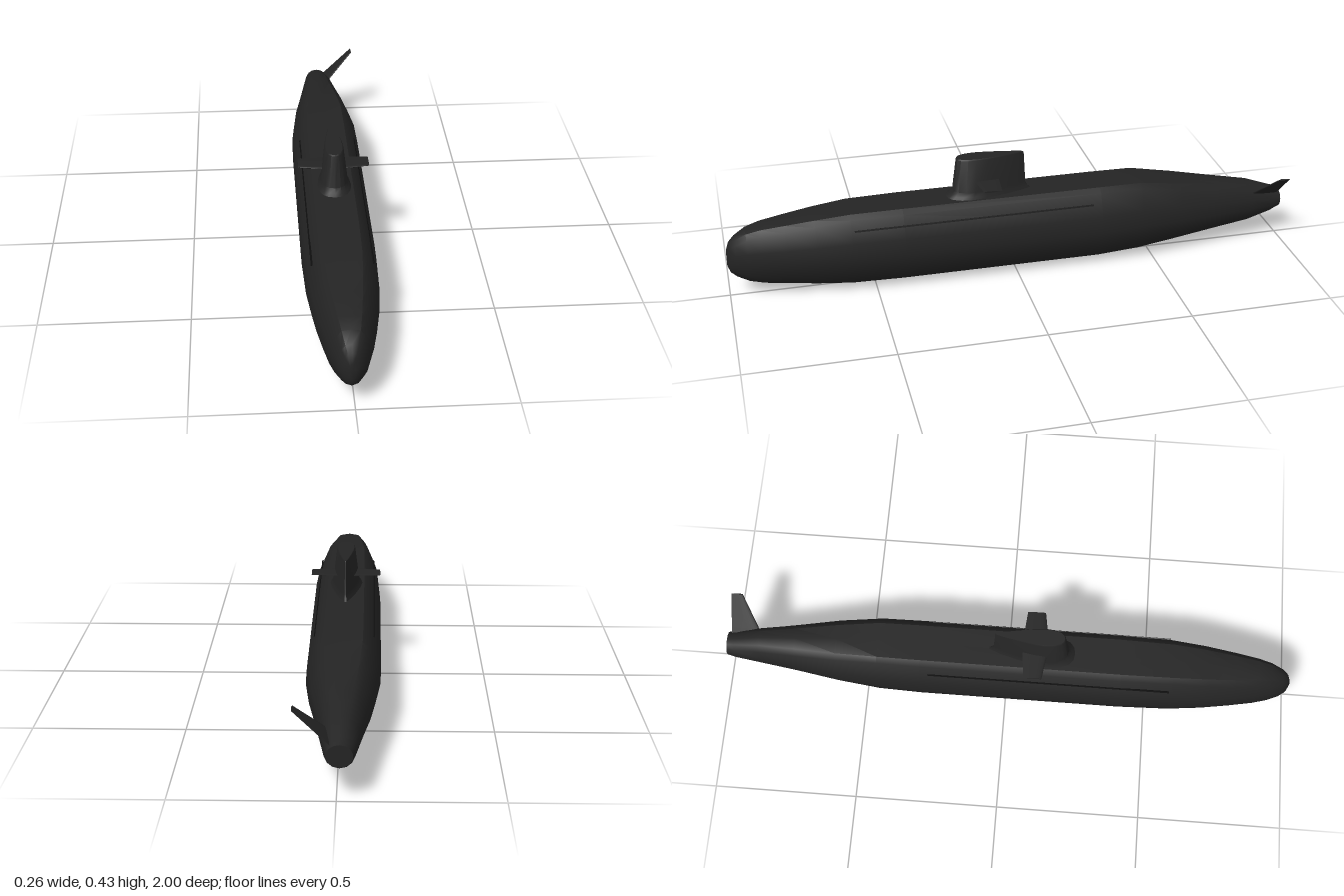
import * as THREE from 'three';
import { toCreasedNormals } from 'three/addons/utils/BufferGeometryUtils.js';

const CX = -0.009; // centre line of the hull

// Skin through closed rings; the first ring runs counter-clockwise seen from outside its end.
function loft(rings, crease) {
  const n = rings[0].length, pos = [], idx = [];
  rings.forEach(r => r.forEach(p => pos.push(p.x, p.y, p.z)));
  for (let i = 0; i < rings.length - 1; i++) {
    for (let j = 0; j < n; j++) {
      const a = i * n + j, b = i * n + (j + 1) % n;
      idx.push(a, a + n, b, b, a + n, b + n);
    }
  }
  // End caps
  [0, rings.length - 1].forEach((k, end) => {
    const c = new THREE.Vector3();
    rings[k].forEach(p => c.addScaledVector(p, 1 / n));
    const ci = pos.length / 3;
    pos.push(c.x, c.y, c.z);
    for (let j = 0; j < n; j++) {
      const a = k * n + j, b = k * n + (j + 1) % n;
      if (end) idx.push(ci, b, a); else idx.push(ci, a, b);
    }
  });
  const g = new THREE.BufferGeometry();
  g.setAttribute('position', new THREE.Float32BufferAttribute(pos, 3));
  g.setIndex(idx);
  return toCreasedNormals(g, crease);
}

// Half midship section: [half width, height], both 0..1, keel to deck
const SECTION = [[0, 0], [0.5, 0.065], [0.87, 0.24], [1, 0.48], [0.94, 0.69],
  [0.67, 0.945], [0.52, 1], [0, 1]];

// Hull ring, blended between the midship section and an ellipse
function hullRing([z, w, yb, yt, round]) {
  const half = SECTION.map(([sx, sy], i) => {
    const a = -Math.PI / 2 + i * Math.PI / (SECTION.length - 1);
    const x = THREE.MathUtils.lerp(sx, Math.cos(a), round);
    const y = THREE.MathUtils.lerp(sy, (1 + Math.sin(a)) / 2, round);
    return new THREE.Vector3(x * w, yb + y * (yt - yb), z);
  });
  const other = half.slice(1, -1).reverse().map(p => new THREE.Vector3(-p.x, p.y, p.z));
  const ring = [...half, ...other];
  ring.forEach(p => { p.x += CX; });
  return ring;
}

// Teardrop section: [half thickness, position from nose 0 to tail 1]
const FOIL = [[0, 0], [0.4, 0.015], [0.7, 0.06], [0.93, 0.16], [1, 0.28], [0.9, 0.45],
  [0.62, 0.68], [0.32, 0.88], [0.06, 1]];

// Foil-shaped body along direction dir; stations from tip to root: [distance, half thickness, front z, back z]
function foilBody(origin, dir, stations, crease = 0.6) {
  const t = dir.clone().cross(new THREE.Vector3(0, 0, 1));
  const outline = [...FOIL, ...FOIL.slice(1).reverse().map(([w, s]) => [-w, s])];
  return loft(stations.map(([d, th, zf, zb]) => outline.map(([w, s]) => {
    const p = origin.clone().addScaledVector(dir, d).addScaledVector(t, w * th);
    p.z = THREE.MathUtils.lerp(zf, zb, s);
    return p;
  })), crease);
}

export function createModel() {
  const model = new THREE.Group();
  model.name = 'submarine';
  const hullBlack = new THREE.MeshStandardMaterial({ color: 0x242424 });
  hullBlack.name = 'hullBlack';
  const slotBlack = new THREE.MeshStandardMaterial({ color: 0x101010 });
  slotBlack.name = 'slotBlack';
  const add = (name, geometry, material = hullBlack) => {
    const m = new THREE.Mesh(geometry, material);
    m.name = name;
    model.add(m);
    return m;
  };

  // Hull stations, bow to stern: [z, half width, bottom, top, roundness]
  const stations = [
    [1, 0.01, 0.11, 0.17, 0.8], [0.99, 0.028, 0.085, 0.2, 0.7],
    [0.97, 0.043, 0.068, 0.22, 0.6], [0.93, 0.06, 0.047, 0.244, 0.5],
    [0.88, 0.074, 0.035, 0.257, 0.4], [0.8, 0.09, 0.026, 0.267, 0.3],
    [0.7, 0.106, 0.014, 0.278, 0.15], [0.58, 0.118, 0.003, 0.288, 0],
    [0.4, 0.124, 0, 0.29, 0], [-0.3, 0.124, 0, 0.29, 0],
    [-0.45, 0.121, 0.01, 0.289, 0], [-0.6, 0.105, 0.03, 0.267, 0.2],
    [-0.75, 0.08, 0.049, 0.243, 0.5], [-0.88, 0.06, 0.065, 0.222, 0.8],
    [-0.97, 0.047, 0.092, 0.19, 1], [-1, 0.041, 0.108, 0.18, 1],
  ];
  add('hull', loft(stations.map(hullRing), 0.65));

  // Sail with a flared foot
  add('sail', foilBody(new THREE.Vector3(CX, 0, 0), new THREE.Vector3(0, 1, 0), [
    [0.43, 0.029, 0.197, -0.038], [0.426, 0.032, 0.2, -0.04],
    [0.312, 0.046, 0.214, -0.046], [0.298, 0.052, 0.226, -0.054],
    [0.286, 0.06, 0.242, -0.066],
  ]));

  // Sail planes and casing slots, one per side
  for (const [side, s] of [['left', 1], ['right', -1]]) {
    add(side + 'SailPlane', foilBody(new THREE.Vector3(CX, 0.347, 0), new THREE.Vector3(s, 0, 0), [
      [0.121, 0.003, 0.126, 0.064], [0.02, 0.004, 0.142, 0.054],
    ]));
    const slot = add(side + 'CasingSlot', new THREE.BoxGeometry(0.004, 0.006, 0.84), slotBlack);
    slot.position.set(CX + s * 0.0985, 0.24, 0.15);
    slot.rotation.z = s * 0.42;
  }

  // Single slanted tail fin
  add('tailFin', foilBody(new THREE.Vector3(CX, 0.145, 0), new THREE.Vector3(1, 0.97, 0).normalize(), [
    [0.192, 0.003, -0.945, -0.985], [0.064, 0.004, -0.888, -0.987], [0.02, 0.005, -0.868, -0.987],
  ]));
  return model;
}
